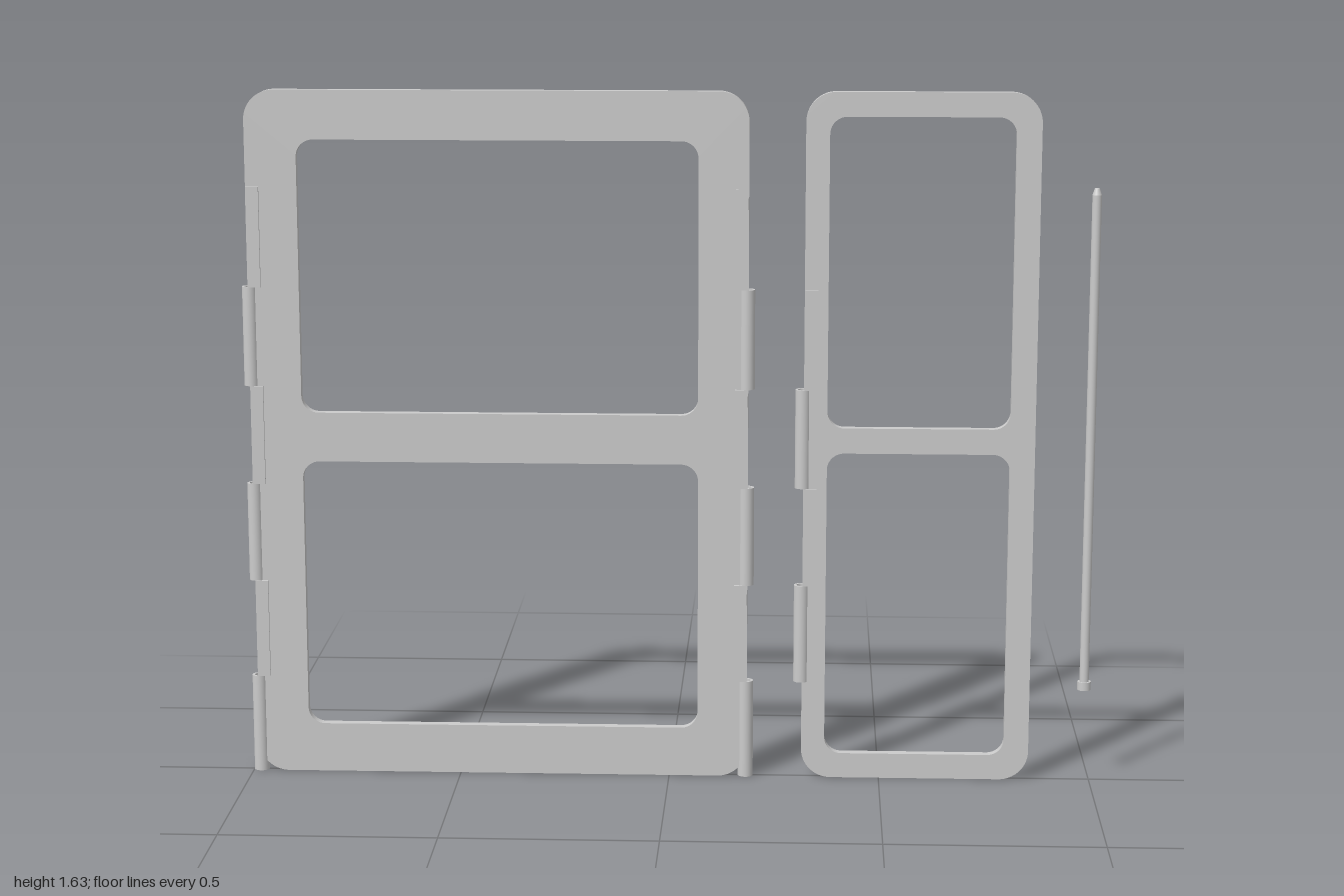
import * as THREE from 'three';

const material = new THREE.MeshStandardMaterial({ color: 0xcccccc, side: THREE.DoubleSide });

function roundedRect(path, x0, y0, x1, y1, r) {
  path.moveTo(x0 + r, y0);
  path.lineTo(x1 - r, y0);
  path.absarc(x1 - r, y0 + r, r, -Math.PI / 2, 0);
  path.lineTo(x1, y1 - r);
  path.absarc(x1 - r, y1 - r, r, 0, Math.PI / 2);
  path.lineTo(x0 + r, y1);
  path.absarc(x0 + r, y1 - r, r, Math.PI / 2, Math.PI);
  path.lineTo(x0, y0 + r);
  path.absarc(x0 + r, y0 + r, r, Math.PI, Math.PI * 1.5);
  return path;
}

function addMesh(group, name, geometry, x = 0, y = 0, z = 0) {
  const mesh = new THREE.Mesh(geometry, material);
  mesh.name = name;
  mesh.position.set(x, y, z);
  group.add(mesh);
}

// Flat frame with rounded corners and two rounded windows
function addFrame(group, name, outline, windows) {
  const shape = roundedRect(new THREE.Shape(), ...outline, 0.07);
  for (const w of windows) shape.holes.push(roundedRect(new THREE.Path(), ...w, 0.04));
  const depth = 0.022;
  const geometry = new THREE.ExtrudeGeometry(shape, { depth, bevelEnabled: false, curveSegments: 10 });
  addMesh(group, name, geometry, 0, 0, -depth / 2);
}

const STEP = 0.235; // length of one hinge segment

// Hollow hinge barrel, standing on y
function addKnuckle(group, x, y) {
  const outer = 0.018, inner = 0.012;
  const profile = [[inner, 0], [outer, 0], [outer, STEP], [inner, STEP], [inner, 0]];
  // Doubled corners keep the rims sharp
  const points = profile.flatMap(([r, h]) => [new THREE.Vector2(r, h), new THREE.Vector2(r, h)]);
  addMesh(group, 'hingeKnuckle', new THREE.LatheGeometry(points.slice(1, -1), 24), x, y);
}

// Thickened pad between two barrels
function addPad(group, x, y) {
  addMesh(group, 'hingePad', new THREE.BoxGeometry(0.03, STEP, 0.036), x, y + STEP / 2);
}

export function createModel() {
  const model = new THREE.Group();
  model.name = 'hingedFrames';

  // Wide frame, hinged on both sides
  const wide = new THREE.Group();
  wide.name = 'widePanel';
  addFrame(wide, 'wideFrame', [-0.985, 0, 0.185, 1.635],
    [[-0.865, 0.118, 0.068, 0.76], [-0.865, 0.877, 0.068, 1.52]]);
  for (const side of [-1, 1]) {
    for (let i = 0; i < 6; i++) {
      if (i % 2 === 0) addKnuckle(wide, -0.4 + side * 0.582, i * STEP);
      else addPad(wide, -0.4 + side * 0.569, i * STEP);
    }
  }
  model.add(wide);

  // Narrow frame, hinged on one side
  const narrow = new THREE.Group();
  narrow.name = 'narrowPanel';
  addFrame(narrow, 'narrowFrame', [0.315, 0, 0.855, 1.635],
    [[0.37, 0.06, 0.797, 0.79], [0.37, 0.85, 0.797, 1.578]]);
  for (let i = 1; i < 5; i++) {
    if (i % 2 === 1) addKnuckle(narrow, 0.313, i * STEP);
    else addPad(narrow, 0.331, i * STEP);
  }
  model.add(narrow);

  // Loose hinge pin with a head at the bottom and a tapered tip
  const pin = new THREE.Group();
  pin.name = 'hingePin';
  addMesh(pin, 'pinHead', new THREE.CylinderGeometry(0.016, 0.016, 0.02, 24), 0, 0.232);
  addMesh(pin, 'pinShaft', new THREE.CylinderGeometry(0.011, 0.011, 1.158, 24), 0, 0.821);
  addMesh(pin, 'pinTip', new THREE.CylinderGeometry(0.006, 0.011, 0.015, 24), 0, 1.4075);
  pin.position.x = 0.984;
  model.add(pin);

  return model;
}
